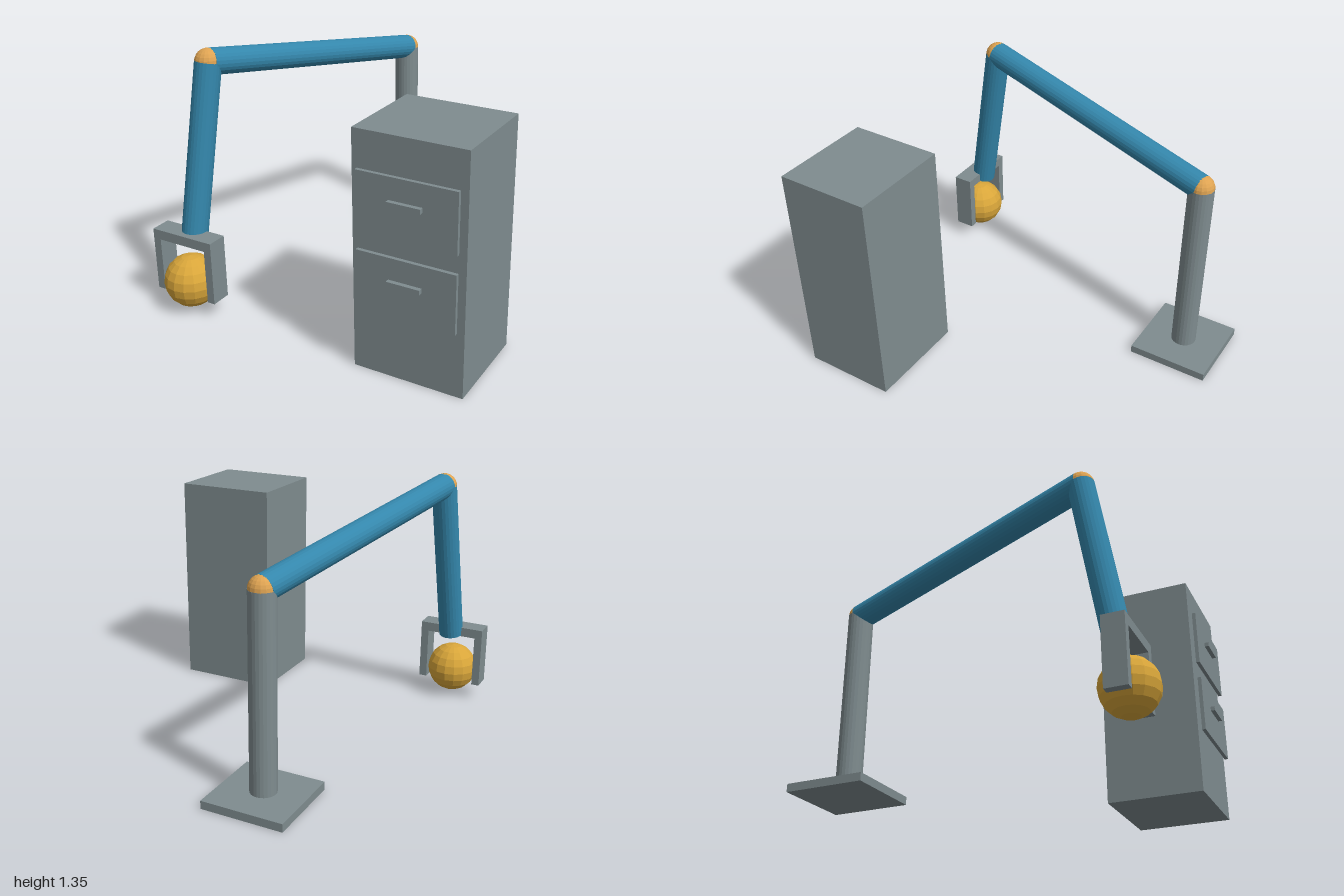
import * as THREE from 'three';

const paint = (name, color, flatShading = true) => {
  const m = new THREE.MeshStandardMaterial({ color, flatShading });
  m.name = name;
  return m;
};

export function createModel() {
  const grey = paint('steel grey', 0x7f8c8f);
  const blue = paint('arm blue', 0x3487ac);
  const orange = paint('joint orange', 0xdea352);
  const gold = paint('ball gold', 0xd9a63a);
  const R = 0.068;

  const add = (parent, name, geometry, material) => {
    const mesh = new THREE.Mesh(geometry, material);
    mesh.name = name;
    parent.add(mesh);
    return mesh;
  };
  const group = (parent, name) => {
    const g = new THREE.Group();
    g.name = name;
    parent.add(g);
    return g;
  };
  // Box given by its ranges along each axis
  const box = (parent, name, [x0, x1], [y0, y1], [z0, z1], material) =>
    add(parent, name, new THREE.BoxGeometry(x1 - x0, y1 - y0, z1 - z0), material)
      .position.set((x0 + x1) / 2, (y0 + y1) / 2, (z0 + z1) / 2);
  // Straight round bar between two points
  const bar = (parent, name, a, b, material) => {
    const dir = b.clone().sub(a);
    const mesh = add(parent, name, new THREE.CylinderGeometry(R, R, dir.length(), 24), material);
    mesh.position.copy(a).add(b).multiplyScalar(0.5);
    mesh.quaternion.setFromUnitVectors(new THREE.Vector3(0, 1, 0), dir.normalize());
  };
  const ball = (parent, name, p, r, material, w = 16, h = 12) =>
    add(parent, name, new THREE.SphereGeometry(r, w, h), material).position.copy(p);

  const model = new THREE.Group();
  model.name = 'robotArmAndCabinet';

  // Arm: base, post, two links and round joints
  const arm = group(model, 'robotArm');
  const foot = new THREE.Vector3(-0.317, 0.04, -0.782);
  const shoulder = new THREE.Vector3(-0.317, 1.053, -0.782);
  const elbow = new THREE.Vector3(-0.648, 1.282, 0.66);
  const wrist = new THREE.Vector3(-0.686, 0.383, 0.82);
  box(arm, 'basePlate', [-0.535, -0.1], [0, 0.043], [-1, -0.565], grey);
  bar(arm, 'post', foot, shoulder, grey);
  bar(arm, 'upperArm', shoulder, elbow, blue);
  bar(arm, 'forearm', elbow, wrist, blue);
  ball(arm, 'shoulderJoint', shoulder, R, orange);
  ball(arm, 'elbowJoint', elbow, R, orange);
  ball(arm, 'wristJoint', new THREE.Vector3(-0.69, 0.403, 0.83), 0.043, grey);

  // Gripper: crossbar and two fingers around the ball
  const gripper = group(arm, 'gripper');
  const depth = [0.803, 0.912];
  box(gripper, 'crossbar', [-0.875, -0.51], [0.378, 0.43], depth, grey);
  box(gripper, 'rightFinger', [-0.875, -0.832], [0.09, 0.378], depth, grey);
  box(gripper, 'leftFinger', [-0.553, -0.51], [0.09, 0.378], depth, grey);
  ball(model, 'heldBall', new THREE.Vector3(-0.692, 0.16, 0.86), 0.14, gold, 16, 10);

  // Cabinet with two drawers and handles
  const cabinet = group(model, 'cabinet');
  box(cabinet, 'cabinetBody', [0.312, 0.872], [0, 1.195], [0.4, 0.904], grey);
  for (const y of [0.337, 0.722]) {
    box(cabinet, 'drawerFront', [0.345, 0.84], [y, y + 0.296], [0.917, 0.936], grey);
    box(cabinet, 'drawerHandle', [0.51, 0.675], [y + 0.165, y + 0.188], [0.936, 0.958], grey);
  }
  return model;
}
